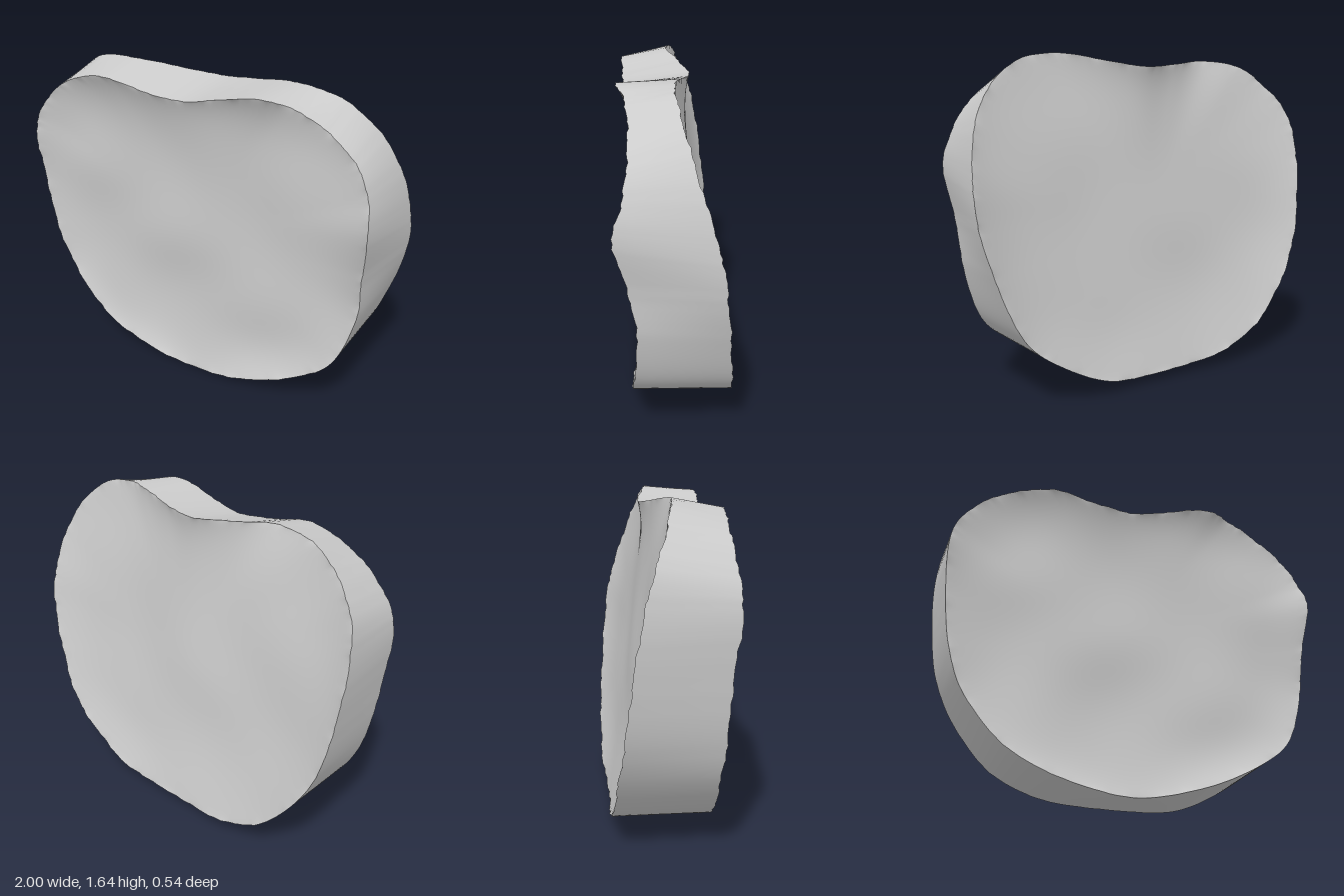
import * as THREE from 'three';

const SEG = 240, RINGS = 36, CENTRE = [0, 0.84];

// Rim control points [x, y, z], counter-clockwise from the left side; both lists pair up.
const FRONT = [
  [.96, 1.1, .26], [.93, 1.27, .22], [.85, 1.41, .2], [.7, 1.53, .2], [.55, 1.6, .22],
  [.4, 1.625, .26], [.2, 1.585, .25], [0, 1.54, .24], [-.2, 1.55, .25], [-.45, 1.59, .26],
  [-.65, 1.55, .24], [-.8, 1.47, .235], [-.92, 1.33, .245], [-.96, 1.18, .25], [-.95, .93, .22],
  [-.91, .65, .21], [-.82, .42, .2], [-.62, .19, .21], [-.35, .06, .21], [0, 0, .19],
  [.35, .07, .21], [.65, .21, .2], [.82, .36, .19], [.91, .62, .17], [.93, .85, .2],
];
const BACK = [
  [1, 1.05, -.18], [.96, 1.28, -.11], [.86, 1.47, -.05], [.7, 1.6, -.01], [.54, 1.64, 0],
  [.4, 1.64, -.02], [.2, 1.61, -.06], [0, 1.59, -.085], [-.22, 1.61, -.04], [-.45, 1.635, .02],
  [-.68, 1.61, -.01], [-.84, 1.51, -.05], [-.96, 1.37, -.11], [-1, 1.18, -.16], [-.99, .93, -.2],
  [-.94, .65, -.23], [-.82, .41, -.255], [-.62, .19, -.265], [-.35, .075, -.265], [0, .045, -.255],
  [.35, .065, -.27], [.64, .2, -.265], [.81, .35, -.255], [.92, .6, -.235], [.99, .85, -.21],
];

// Smooth closed rim
function rim(points) {
  const curve = new THREE.CatmullRomCurve3(points.map(p => new THREE.Vector3(...p)), true, 'catmullrom', 0.5);
  return Array.from({ length: SEG }, (_, i) => curve.getPoint(i / SEG));
}

// Fine ragged edge, felt only right at the rim
const ragged = i => 0.004 * Math.sin(i * 1.9) * Math.sin(i * 0.37 + 1) + 0.003 * Math.sin(i * 0.61);

// Indexed surface from closed loops of SEG points
function loft(loops, flip) {
  const pos = loops.flat().flatMap(p => [p.x, p.y, p.z]), index = [];
  for (let r = 0; r < loops.length - 1; r++) {
    for (let i = 0; i < SEG; i++) {
      const j = (i + 1) % SEG;
      const a = r * SEG + i, b = r * SEG + j, c = a + SEG, d = b + SEG;
      if (flip) index.push(a, c, b, b, c, d);
      else index.push(a, b, c, b, d, c);
    }
  }
  const g = new THREE.BufferGeometry();
  g.setAttribute('position', new THREE.Float32BufferAttribute(pos, 3));
  g.setIndex(index);
  g.computeVertexNormals();
  return g;
}

// Soft irregular dents
const dents = (x, y, s) =>
  Math.sin(6.1 * x + 3.3 * y + s) * Math.cos(5.3 * y - 2.1 * x + s) +
  0.5 * Math.sin(9 * x - 6 * y + 2 * s + Math.sin(5 * y + 3 * x));

// Sunken, forward-leaning middle of each side
const frontBody = (x, y) => 0.135 + 0.03 * y + 0.009 * dents(x, y, 0.7);
const backBody = (x, y) => -0.215 + 0.115 * y + 0.005 * dents(x, y, 2.4);

// Dished face: the sunken middle curls out to the rim
function face(edge, body, power) {
  const loops = [];
  for (let k = 0; k <= RINGS; k++) {
    const r = 1 - (k / RINGS) ** 1.3;
    loops.push(edge.map((p, i) => {
      const x = THREE.MathUtils.lerp(CENTRE[0], p.x, r);
      const y = THREE.MathUtils.lerp(CENTRE[1], p.y, r);
      const z = THREE.MathUtils.lerp(body(x, y), p.z, r ** power) + ragged(i) * r ** 60;
      return new THREE.Vector3(x, y, z);
    }));
  }
  return loops;
}

export function createModel() {
  const group = new THREE.Group();
  const material = new THREE.MeshStandardMaterial({ color: 0xcccccc, side: THREE.DoubleSide });
  const add = (name, geometry) => {
    const mesh = new THREE.Mesh(geometry, material);
    mesh.name = name;
    group.add(mesh);
  };
  const front = face(rim(FRONT), frontBody, 6), back = face(rim(BACK), backBody, 4.5);

  add('frontFace', loft(front, false));
  add('backFace', loft(back, true));

  // Side wall joining the two rims
  const wall = [];
  for (let k = 0; k <= 6; k++) wall.push(front[0].map((p, i) => p.clone().lerp(back[0][i], k / 6)));
  add('sideWall', loft(wall, true));
  return group;
}
